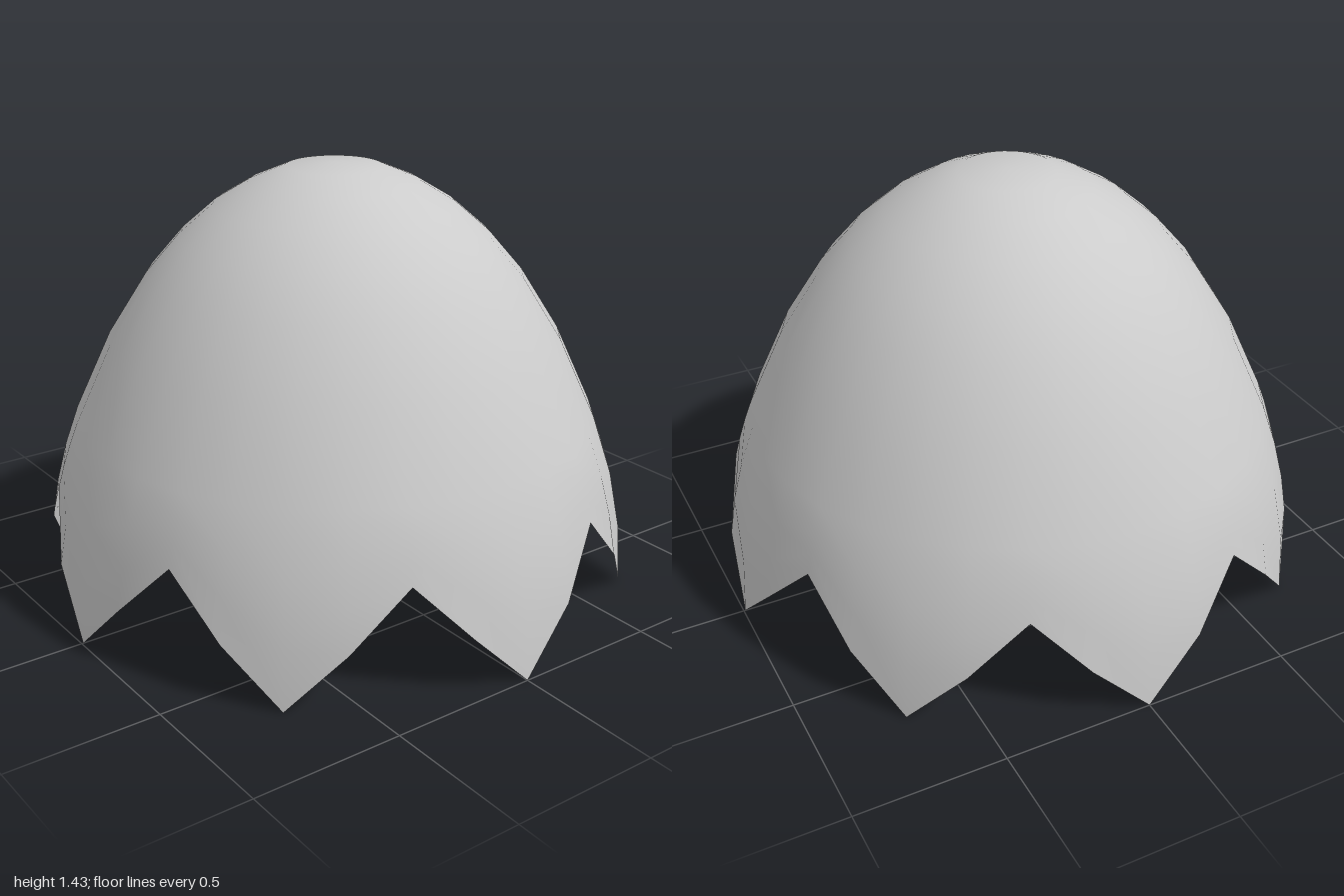
import * as THREE from 'three';
import { mergeVertices } from 'three/addons/utils/BufferGeometryUtils.js';

const SEGMENTS = 32, TEETH = 8;
const TOOTH_HEIGHT = 0.38, SKIRT_TOP = 0.6, SKIRT_ROWS = 3;

// Radius of the shell's lower wall at a height
const skirtRadius = (y) => 1 - 0.333 * y * y;

export function createModel() {
  // Dome profile from the skirt's upper ring to the crown
  const dome = [[0.88, 0.6], [0.757, 0.865], [0.627, 1.07], [0.515, 1.2],
    [0.4, 1.3], [0.28, 1.373], [0.16, 1.424], [0, 1.435]];
  const profile = [];
  for (let j = 0; j < SKIRT_ROWS; j++) {
    const y = SKIRT_TOP * j / SKIRT_ROWS;
    profile.push(new THREE.Vector2(skirtRadius(y), y));
  }
  dome.forEach(([r, y]) => profile.push(new THREE.Vector2(r, y)));

  let geometry = new THREE.LatheGeometry(profile, SEGMENTS);
  const pos = geometry.attributes.position;
  const period = SEGMENTS / TEETH;

  // Raise the lower rows into a zigzag rim that stays on the shell's curve
  for (let i = 0; i <= SEGMENTS; i++) {
    const phase = (i % period) / period;
    const rim = TOOTH_HEIGHT * (1 - Math.abs(1 - 2 * phase));
    const angle = (i % SEGMENTS) / SEGMENTS * Math.PI * 2;
    for (let j = 0; j < SKIRT_ROWS; j++) {
      const y = THREE.MathUtils.lerp(rim, SKIRT_TOP, j / SKIRT_ROWS);
      const r = skirtRadius(y);
      pos.setXYZ(i * profile.length + j, r * Math.sin(angle), y, r * Math.cos(angle));
    }
  }

  // Weld the seam and crown for smooth normals all round
  geometry.deleteAttribute('uv');
  geometry.deleteAttribute('normal');
  geometry = mergeVertices(geometry, 1e-4);
  geometry.scale(1, 1, 0.995);
  geometry.computeVertexNormals();

  const shell = new THREE.Mesh(geometry, new THREE.MeshStandardMaterial({
    color: 0xcccccc, side: THREE.DoubleSide,
  }));
  shell.name = 'crackedEggshell';

  const model = new THREE.Group();
  model.name = 'eggshellTop';
  model.add(shell);
  return model;
}
